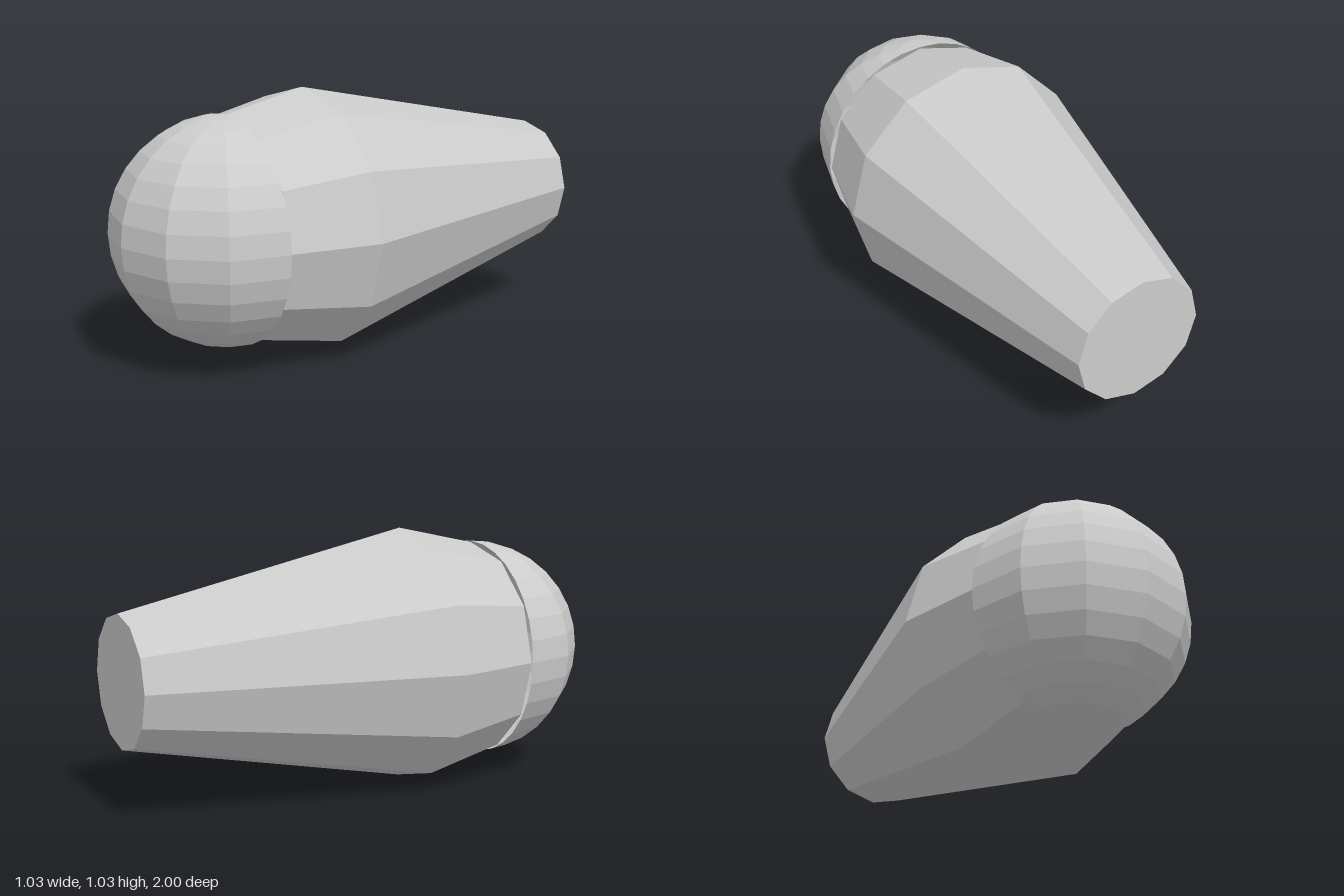
import * as THREE from 'three';

const CENTER_Y = 0.52;

export function createModel() {
  const group = new THREE.Group();
  group.name = 'bluntCapsule';

  const add = (name, geometry, side = THREE.FrontSide) => {
    const material = new THREE.MeshStandardMaterial({ color: 0xcccccc, flatShading: true, side });
    const mesh = new THREE.Mesh(geometry, material);
    mesh.name = name;
    mesh.position.y = CENTER_Y;
    group.add(mesh);
    return mesh;
  };

  // Twelve-sided tapered body: [radius, z] from the flat tail to the front end
  const profile = [[0, -1], [0.258, -1], [0.517, 0.2], [0.441, 0.55], [0, 0.55]]
    .map(([r, z]) => new THREE.Vector2(r, z));
  add('body', new THREE.LatheGeometry(profile, 12).rotateX(Math.PI / 2));

  // Open half-sphere nose with its poles at top and bottom, slightly wider than the body end
  const radius = 0.446;
  const nose = add('nose', new THREE.SphereGeometry(radius, 6, 16, 0, Math.PI), THREE.DoubleSide);
  nose.position.z = 1 - radius;

  return group;
}
